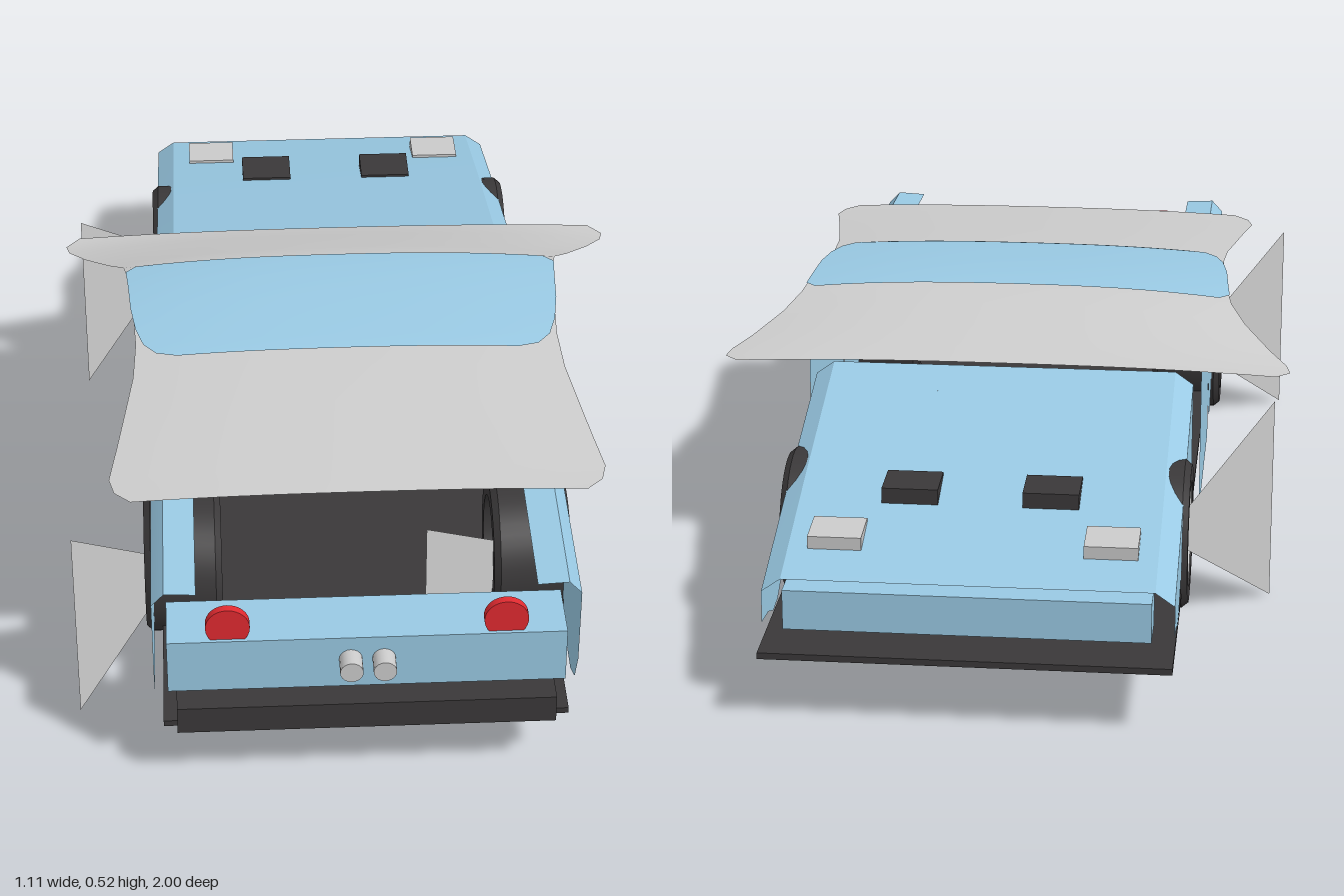
import * as THREE from 'three';
import { toCreasedNormals } from 'three/addons/utils/BufferGeometryUtils.js';

const paint = (color) => new THREE.MeshStandardMaterial({ color, side: THREE.DoubleSide });
const BLUE = paint(0x99c9e3), DARK = paint(0x3a3839), GREY = paint(0xcccccc), RED = paint(0xe02a30);

function add(parent, name, geometry, material, x = 0, y = 0, z = 0) {
  const mesh = new THREE.Mesh(geometry, material);
  mesh.name = name;
  mesh.position.set(x, y, z);
  parent.add(mesh);
  return mesh;
}

// Box given by its limits on each axis
function box(parent, name, material, [x0, x1], [y0, y1], [z0, z1]) {
  return add(parent, name, new THREE.BoxGeometry(x1 - x0, y1 - y0, z1 - z0), material,
    (x0 + x1) / 2, (y0 + y1) / 2, (z0 + z1) / 2);
}

// Open sheet joining rows of points
function loft(rows) {
  const n = rows[0].length, index = [];
  for (let i = 0; i < rows.length - 1; i++) {
    for (let j = 0; j < n - 1; j++) {
      const a = i * n + j, b = a + 1, c = a + n, d = c + 1;
      index.push(a, c, b, b, c, d);
    }
  }
  const g = new THREE.BufferGeometry();
  g.setAttribute('position', new THREE.Float32BufferAttribute(rows.flat(2), 3));
  g.setIndex(index);
  g.computeVertexNormals();
  return g;
}

// Crowned sheet from sections [z, half width, centre height, edge height]
function canopy(sections) {
  return loft(sections.map(([z, w, yc, ye]) => {
    const row = [];
    for (let j = 0; j <= 16; j++) {
      const t = j / 8 - 1;
      row.push([t * w, yc - (yc - ye) * Math.abs(t) ** 2.5, z]);
    }
    return row;
  }));
}

// Side panel drawn in (z, y), with an optional wheel arch between two runs of points
function sidePanel(before, arch, after = []) {
  const s = new THREE.Shape();
  s.moveTo(...before[0]);
  before.slice(1).forEach((p) => s.lineTo(...p));
  if (arch) s.absarc(arch[0], arch[1], arch[2], Math.PI, 0, true);
  after.forEach((p) => s.lineTo(...p));
  return new THREE.ShapeGeometry(s, 20).rotateY(-Math.PI / 2);
}

function lathe(points, segments = 40) {
  return new THREE.LatheGeometry(points.map((p) => new THREE.Vector2(...p)), segments).rotateZ(-Math.PI / 2);
}

// Wheel with its axle along x and its outer face toward +x
function makeWheel(name, width, side) {
  const wheel = new THREE.Group(), h = width / 2;
  wheel.name = name;
  add(wheel, 'tyre', toCreasedNormals(lathe([[0.1, -h], [0.13, -h], [0.14, -h + 0.012], [0.14, h - 0.012],
    [0.13, h], [0.1, h], [0.1, -h]]), 0.6), DARK);
  add(wheel, 'rim', lathe([[0.1, h - 0.003], [0.09, h - 0.008], [0.085, h - 0.03], [0.085, -h + 0.02]]), GREY);
  add(wheel, 'brakeDisc', new THREE.CylinderGeometry(0.07, 0.07, 0.01, 32).rotateZ(Math.PI / 2), GREY, h - 0.06);
  add(wheel, 'hub', new THREE.CylinderGeometry(0.022, 0.026, 0.03, 16).rotateZ(-Math.PI / 2), GREY, h - 0.035);
  for (let i = 0; i < 5; i++) {
    const a = (i / 5) * Math.PI * 2;
    add(wheel, 'spoke', new THREE.BoxGeometry(0.012, 0.08, 0.018), GREY,
      h - 0.03, Math.cos(a) * 0.052, Math.sin(a) * 0.052).rotation.x = a;
  }
  add(wheel, 'caliper', new THREE.BoxGeometry(0.03, 0.055, 0.035), RED, h - 0.035, 0.04, -0.042);
  wheel.scale.x = side;
  return wheel;
}

export function createModel() {
  const car = new THREE.Group();
  car.name = 'car';

  // Floor, splitter and rear bumper
  box(car, 'floor', DARK, [-0.37, 0.37], [0.125, 0.137], [-1, 0.95]);
  box(car, 'rearBumper', DARK, [-0.345, 0.345], [0.125, 0.18], [0.71, 0.97]);

  // Nose and tail
  box(car, 'nose', BLUE, [-0.33, 0.33], [0.165, 0.24], [-0.955, -0.87]);
  box(car, 'tailPanel', BLUE, [-0.36, 0.36], [0.215, 0.325], [0.84, 0.96]);

  // Bonnet with chamfered sides
  const bonnetRow = (z, y) => [[-0.37, y - 0.025, z], [-0.335, y, z], [0.335, y, z], [0.37, y - 0.025, z]];
  add(car, 'bonnet', toCreasedNormals(loft([bonnetRow(-0.94, 0.255), bonnetRow(-0.62, 0.34), bonnetRow(-0.26, 0.428)]), 0.3), BLUE);

  // Windscreen, roof and rear window
  add(car, 'windscreen', canopy([
    [-0.26, 0.53, 0.435, 0.424], [-0.23, 0.557, 0.444, 0.422], [-0.2, 0.55, 0.455, 0.426],
    [-0.15, 0.515, 0.473, 0.44], [-0.08, 0.465, 0.498, 0.468], [-0.03, 0.435, 0.514, 0.494], [0.01, 0.428, 0.518, 0.501],
  ]), GREY);
  add(car, 'roof', canopy([
    [-0.02, 0.41, 0.52, 0.503], [0, 0.43, 0.522, 0.503], [0.06, 0.425, 0.525, 0.507], [0.14, 0.42, 0.522, 0.507],
    [0.21, 0.41, 0.517, 0.504], [0.26, 0.395, 0.513, 0.501], [0.29, 0.37, 0.51, 0.5], [0.3, 0.33, 0.508, 0.5],
  ]), BLUE);
  add(car, 'rearWindow', canopy([
    [0.15, 0.415, 0.515, 0.501], [0.25, 0.41, 0.508, 0.494], [0.35, 0.415, 0.5, 0.484], [0.45, 0.43, 0.49, 0.474],
    [0.55, 0.445, 0.48, 0.465], [0.64, 0.46, 0.471, 0.456], [0.68, 0.45, 0.467, 0.455], [0.71, 0.42, 0.464, 0.456],
  ]), GREY);

  for (const s of [1, -1]) {
    const side = s > 0 ? 'left' : 'right';

    // Front wing, door and rear quarter
    add(car, side + 'FrontWing', sidePanel(
      [[-0.26, 0.403], [-0.62, 0.315], [-0.94, 0.23], [-0.94, 0.17], [-0.87, 0.16], [-0.82, 0.14], [-0.77, 0.143], [-0.71, 0.175], [-0.67, 0.21]],
      [-0.545, 0.21, 0.12],
      [[-0.4, 0.175], [-0.36, 0.15], [-0.31, 0.138], [-0.275, 0.165], [-0.262, 0.22]]), BLUE, s * 0.37);
    add(car, side + 'Door', sidePanel(
      [[0.19, 0.425], [-0.255, 0.425], [-0.255, 0.2], [-0.245, 0.15], [-0.215, 0.13], [0.19, 0.13]]), BLUE, s * 0.385);
    add(car, side + 'RearQuarter', sidePanel(
      [[0.94, 0.395], [0.19, 0.425], [0.195, 0.24], [0.215, 0.18], [0.25, 0.15], [0.31, 0.138], [0.37, 0.16], [0.425, 0.21]],
      [0.555, 0.21, 0.13],
      [[0.72, 0.17], [0.78, 0.145], [0.84, 0.14], [0.9, 0.17], [0.935, 0.24]]), BLUE, s * 0.385);
    const shoulder = (z, low, top) => [[s * 0.385, low, z], [s * 0.362, top, z], [s * 0.305, top - 0.003, z]];
    add(car, side + 'RearShoulder', toCreasedNormals(loft([shoulder(0.19, 0.425, 0.46), shoulder(0.94, 0.395, 0.42)]), 0.5), BLUE);

    // Bonnet vents and headlamps
    box(car, side + 'Vent', DARK, [s * 0.13 - 0.052, s * 0.13 + 0.052], [0.31, 0.345], [-0.712, -0.62]);
    const lamp = box(car, side + 'Headlamp', GREY, [s * 0.25 - 0.049, s * 0.25 + 0.049], [0.28, 0.305], [-0.852, -0.765]);
    lamp.rotation.x = -0.05;

    // Tail lamp and exhaust
    add(car, side + 'TailLamp', new THREE.CylinderGeometry(0.04, 0.04, 0.016, 32).rotateX(Math.PI / 2), RED, s * 0.25, 0.35, 0.945);
    add(car, side + 'Exhaust', new THREE.CylinderGeometry(0.021, 0.021, 0.05, 20).rotateX(Math.PI / 2), GREY, s * 0.03, 0.277, 0.975);

    // Wheels, each with a triangular blade trailing from its hub
    for (const [end, z, width, x] of [['Front', -0.55, 0.125, 0.318], ['Rear', 0.555, 0.145, 0.328]]) {
      const wheel = makeWheel(side + end + 'Wheel', width, s);
      wheel.position.set(s * x, 0.21, z);
      car.add(wheel);
      const baseX = s > 0 ? 0.12 : -0.53, tipX = s > 0 ? 0.37 : -0.33;
      const blade = new THREE.BufferGeometry().setFromPoints([
        new THREE.Vector3(baseX, 0.407, z + 0.2), new THREE.Vector3(baseX, 0.005, z + 0.2), new THREE.Vector3(tipX, 0.2, z)]);
      blade.computeVertexNormals();
      add(car, side + end + 'Blade', blade, GREY);
    }
  }
  return car;
}
